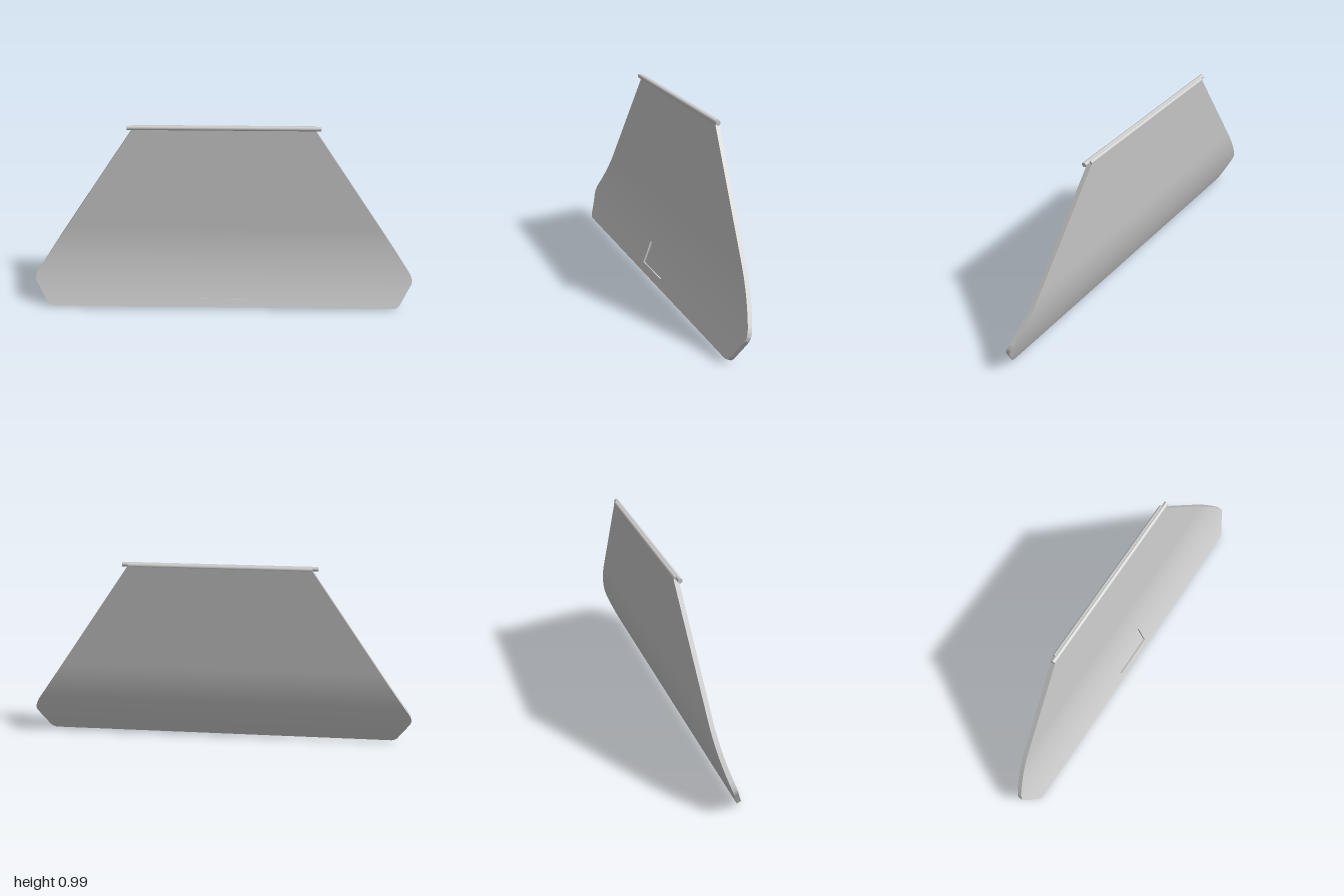
import * as THREE from 'three';

const HALF = 0.0115;                 // half the panel thickness
const RECESS = { x: 0.12, y0: 0.045, y1: 0.16, depth: 0.01 };

// Half width of the panel at key heights: [y, x]
const OUTLINE = [[0.005, 0.91], [0.01, 0.925], [0.022, 0.938], [0.108, 0.985], [0.127, 0.996],
  [0.146, 1], [0.165, 0.996], [0.184, 0.987], [0.977, 0.455]];

function halfWidth(y) {
  const i = Math.max(1, OUTLINE.findIndex((p) => p[0] >= y - 1e-9));
  const [y0, x0] = OUTLINE[i - 1], [y1, x1] = OUTLINE[i];
  return x0 + (x1 - x0) * (y - y0) / (y1 - y0);
}

// Point on the curved panel: straight above, sweeping forward at the bottom
function panelPoint(x, y, offset) {
  const k = Math.max(0, 1 - y / 0.43);
  const z = -0.01 - 0.066 * y + 0.089 * k * k;
  const slope = -0.066 - 2 * 0.089 * k / 0.43;
  const n = offset / Math.hypot(1, slope);
  return new THREE.Vector3(x, y - slope * n, z + n);
}

// Ruled surface between a left and a right edge, both running upward
function sheet(a, b) {
  const geometry = new THREE.BufferGeometry().setFromPoints([...a, ...b]);
  const n = a.length, index = [];
  for (let i = 0; i < n - 1; i++) index.push(i, n + i, n + i + 1, i, n + i + 1, i + 1);
  geometry.setIndex(index);
  geometry.computeVertexNormals();
  return geometry;
}

export function createModel() {
  const model = new THREE.Group();
  const material = new THREE.MeshStandardMaterial({ color: 0xcccccc, roughness: 0.8 });
  const panel = new THREE.Group();
  panel.name = 'curvedPanel';
  const recess = new THREE.Group();
  recess.name = 'recess';
  model.add(panel, recess);
  const add = (parent, name, geometry) => {
    const mesh = new THREE.Mesh(geometry, material);
    mesh.name = name;
    parent.add(mesh);
    return mesh;
  };

  // Row heights: outline corners, recess edges and an even spread
  const heights = [...OUTLINE.map((p) => p[0]), RECESS.y0, RECESS.y1];
  for (let y = 0.03; y < 0.97; y += 0.02) heights.push(y);
  const rows = heights.sort((p, q) => p - q).filter((y, i, all) => !i || y - all[i - 1] > 1e-6);
  const inside = rows.filter((y) => y >= RECESS.y0 && y <= RECESS.y1);
  const edge = (side, offset) => rows.map((y) => panelPoint(side * halfWidth(y), y, offset));
  const line = (x, ys, offset) => ys.map((y) => panelPoint(x, y, offset));

  // Front skin, left open around the recess
  const r = RECESS.x;
  add(panel, 'frontRight', sheet(edge(-1, HALF), line(-r, rows, HALF)));
  add(panel, 'frontLeft', sheet(line(r, rows, HALF), edge(1, HALF)));
  const below = rows.filter((y) => y <= RECESS.y0), above = rows.filter((y) => y >= RECESS.y1);
  add(panel, 'frontBelowRecess', sheet(line(-r, below, HALF), line(r, below, HALF)));
  add(panel, 'frontAboveRecess', sheet(line(-r, above, HALF), line(r, above, HALF)));

  // Back skin and rims
  add(panel, 'back', sheet(edge(1, -HALF), edge(-1, -HALF)));
  add(panel, 'leftRim', sheet(edge(1, HALF), edge(1, -HALF)));
  add(panel, 'rightRim', sheet(edge(-1, -HALF), edge(-1, HALF)));
  const y0 = rows[0], w0 = halfWidth(y0);
  const bottom = (x) => [panelPoint(x, y0, -HALF), panelPoint(x, y0, HALF)];
  add(panel, 'bottomRim', sheet(bottom(-w0), bottom(w0)));

  // Shallow rectangular recess
  const floor = HALF - RECESS.depth;
  add(recess, 'recessFloor', sheet(line(-r, inside, floor), line(r, inside, floor)));
  add(recess, 'recessRightWall', sheet(line(-r, inside, HALF), line(-r, inside, floor)));
  add(recess, 'recessLeftWall', sheet(line(r, inside, floor), line(r, inside, HALF)));
  const ledge = (x, y, from, to) => [panelPoint(x, y, from), panelPoint(x, y, to)];
  add(recess, 'recessBottomWall',
    sheet(ledge(-r, RECESS.y0, HALF, floor), ledge(r, RECESS.y0, HALF, floor)));
  add(recess, 'recessTopWall',
    sheet(ledge(-r, RECESS.y1, floor, HALF), ledge(r, RECESS.y1, floor, HALF)));

  // Rounded top edge and the hinge rod in front of it
  const bar = (name, radius, length, y, z) => {
    const geometry = new THREE.CylinderGeometry(radius, radius, length, 32).rotateZ(Math.PI / 2);
    add(model, name, geometry).position.set(0, y, z);
  };
  bar('roundedTopEdge', 0.0118, 0.91, 0.979, -0.0748);
  bar('hingeRod', 0.0115, 0.97, 0.981, -0.065);

  return model;
}
